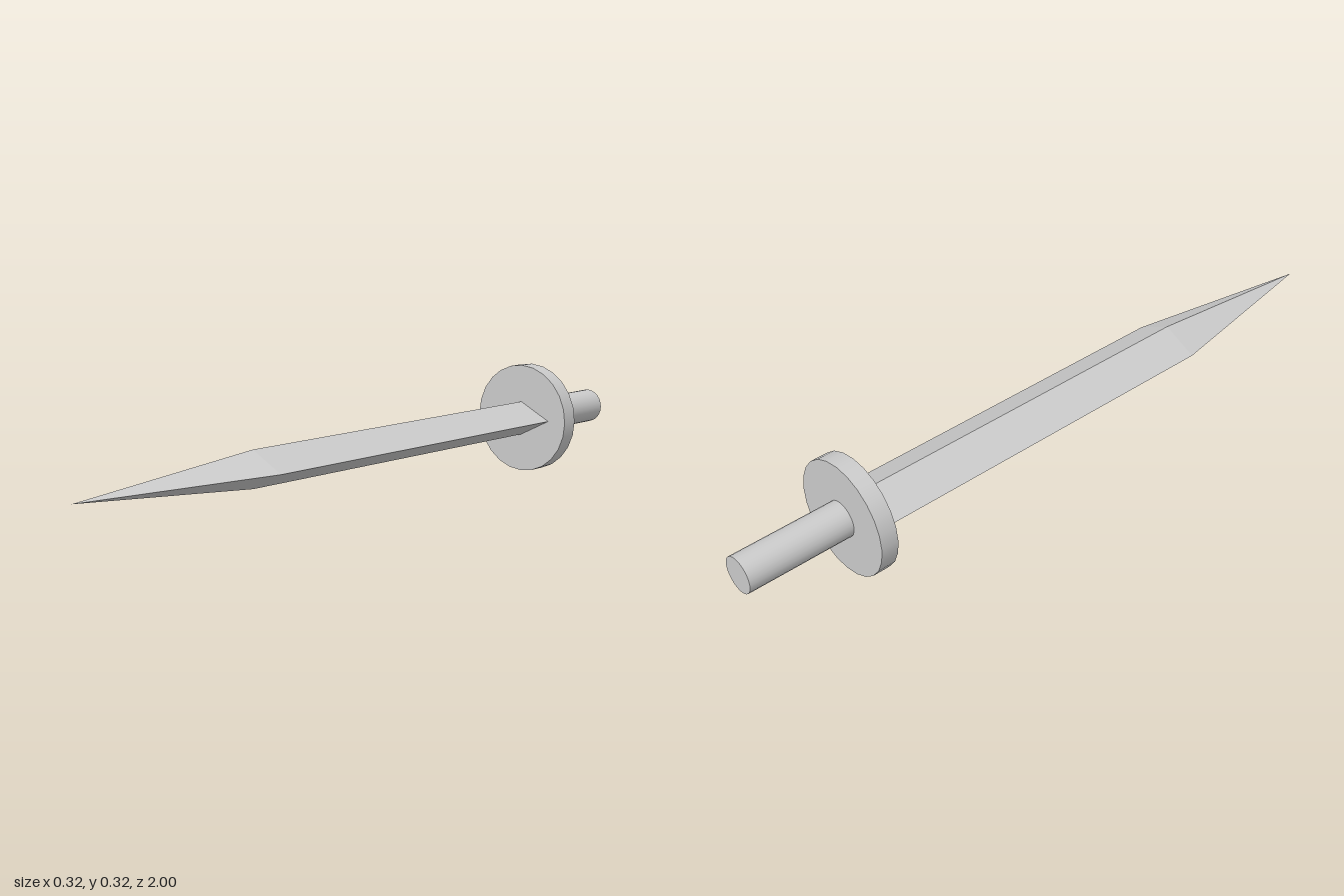
import * as THREE from 'three';

const AXIS_Y = 0.16; // height of the sword's long axis

export function createModel() {
  const sword = new THREE.Group();
  sword.name = 'sword';
  const smooth = new THREE.MeshStandardMaterial({ color: 0xcccccc });
  const faceted = new THREE.MeshStandardMaterial({ color: 0xcccccc, flatShading: true });

  // Lays an upright geometry along z, spanning from z0 to z1
  function addAlongZ(name, geometry, material, z0, z1) {
    geometry.rotateX(Math.PI / 2);
    const mesh = new THREE.Mesh(geometry, material);
    mesh.name = name;
    mesh.position.set(0, AXIS_Y, (z0 + z1) / 2);
    sword.add(mesh);
  }

  // Squashes a four-sided section into the blade's flat diamond with hard edges
  function diamond(geometry) {
    const flat = geometry.scale(0.1, 1, 0.05).toNonIndexed();
    flat.computeVertexNormals();
    return flat;
  }

  // Round grip and disc guard
  addAlongZ('grip', new THREE.CylinderGeometry(0.05, 0.05, 0.3, 24), smooth, -1, -0.7);
  addAlongZ('guard', new THREE.CylinderGeometry(0.16, 0.16, 0.05, 24), smooth, -0.7, -0.65);

  // Straight blade and its pointed end
  addAlongZ('blade', diamond(new THREE.CylinderGeometry(1, 1, 1.1, 4, 1, true)), faceted, -0.65, 0.45);
  addAlongZ('bladeTip', diamond(new THREE.ConeGeometry(1, 0.55, 4, 1, true)), faceted, 0.45, 1);

  return sword;
}
